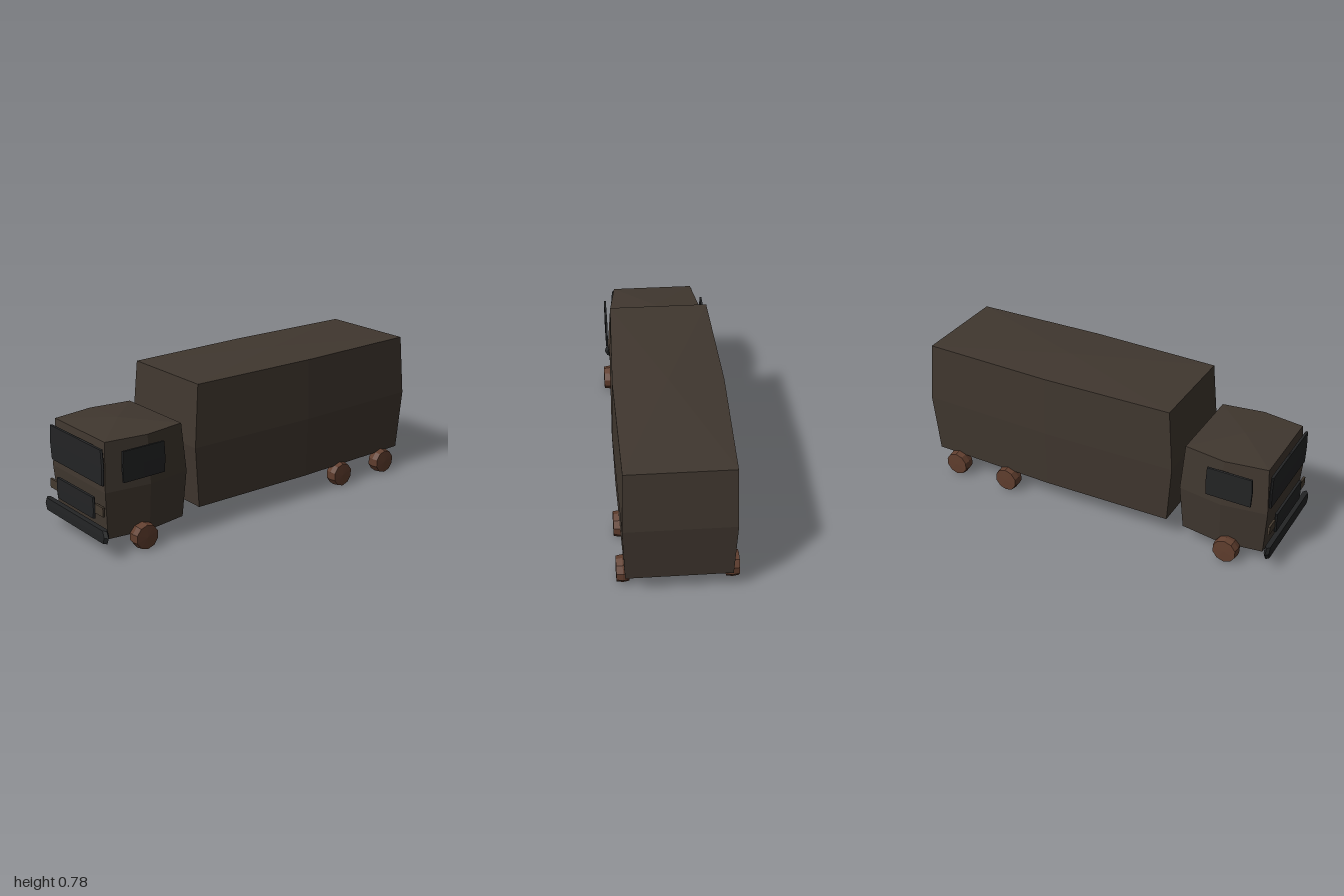
import * as THREE from 'three';

const mat = (name, color, flat = true) => {
  const m = new THREE.MeshStandardMaterial({ color, flatShading: flat });
  m.name = name;
  return m;
};

// Soft box with eight corners, bulging at mid height and mid depth, with low pyramid caps.
// size = full width, height, depth; a = taper toward top and bottom, b = taper toward the ends.
function bulgedBox([w, h, d], a, b) {
  const geo = new THREE.SphereGeometry(1, 8, 4);
  const p = geo.attributes.position;
  const unit = (n) => (Math.abs(n) < 0.01 ? 0 : Math.sign(n));
  for (let i = 0; i < p.count; i++) {
    const u = unit(p.getX(i)), v = unit(p.getY(i)), t = unit(p.getZ(i));
    const pole = u === 0 && t === 0;
    const k = 1 - a * Math.abs(v);
    p.setXYZ(i,
      u * w / 2 * k * (1 - b * Math.abs(t)),
      v * h / 2 * (pole ? 1 : 1 - a),
      t * d / 2 * k);
  }
  geo.computeVertexNormals();
  return geo;
}

export function createModel() {
  const truck = new THREE.Group();
  truck.name = 'boxTruck';
  const body = mat('darkBrownBody', 0x40372f);
  const lamp = mat('lampBrown', 0x443a2f);
  const black = mat('blackTrim', 0x232425);
  const rust = mat('rustWheel', 0x603e2e);

  const add = (name, geo, material, x, y, z) => {
    const mesh = new THREE.Mesh(geo, material);
    mesh.name = name;
    mesh.position.set(x, y, z);
    truck.add(mesh);
    return mesh;
  };

  // Cargo box and cab
  add('cargoBox', bulgedBox([0.576, 0.667, 1.457], 0.036, 0.06), body, 0, 0.442, -0.2715);
  add('cab', bulgedBox([0.548, 0.53, 0.474], 0.07, 0.125), body, 0, 0.326, 0.727);

  // Front details
  add('windscreen', bulgedBox([0.486, 0.186, 0.014], 0.035, 0.03), black, 0, 0.452, 0.969);
  add('grille', bulgedBox([0.346, 0.114, 0.014], 0.035, 0.03), black, 0, 0.232, 0.982);
  add('bumper', bulgedBox([0.58, 0.07, 0.028], 0.05, 0.06), black, 0, 0.117, 0.986);

  // Wheel: ten-sided barrel with slightly domed faces
  const profile = [[0, -0.034], [0.063, -0.032], [0.068, 0], [0.063, 0.032], [0, 0.034]];
  const wheel = new THREE.LatheGeometry(profile.map(([r, y]) => new THREE.Vector2(r, y)), 10);
  wheel.rotateZ(-Math.PI / 2);
  wheel.rotateX(Math.PI / 2);

  const lampGeo = bulgedBox([0.074, 0.05, 0.012], 0.04, 0.03);
  const windowGeo = bulgedBox([0.012, 0.162, 0.244], 0.03, 0.04);
  for (const [side, s] of [['left', 1], ['right', -1]]) {
    add(side + 'Headlamp', lampGeo, lamp, s * 0.207, 0.233, 0.977);
    add(side + 'CabWindow', windowGeo, black, s * 0.28, 0.452, 0.77);
    for (const [name, z] of [['FrontWheel', 0.772], ['MiddleWheel', -0.525], ['RearWheel', -0.848]]) {
      add(side + name, wheel, rust, s * 0.269, 0.068, z);
    }
  }
  return truck;
}
